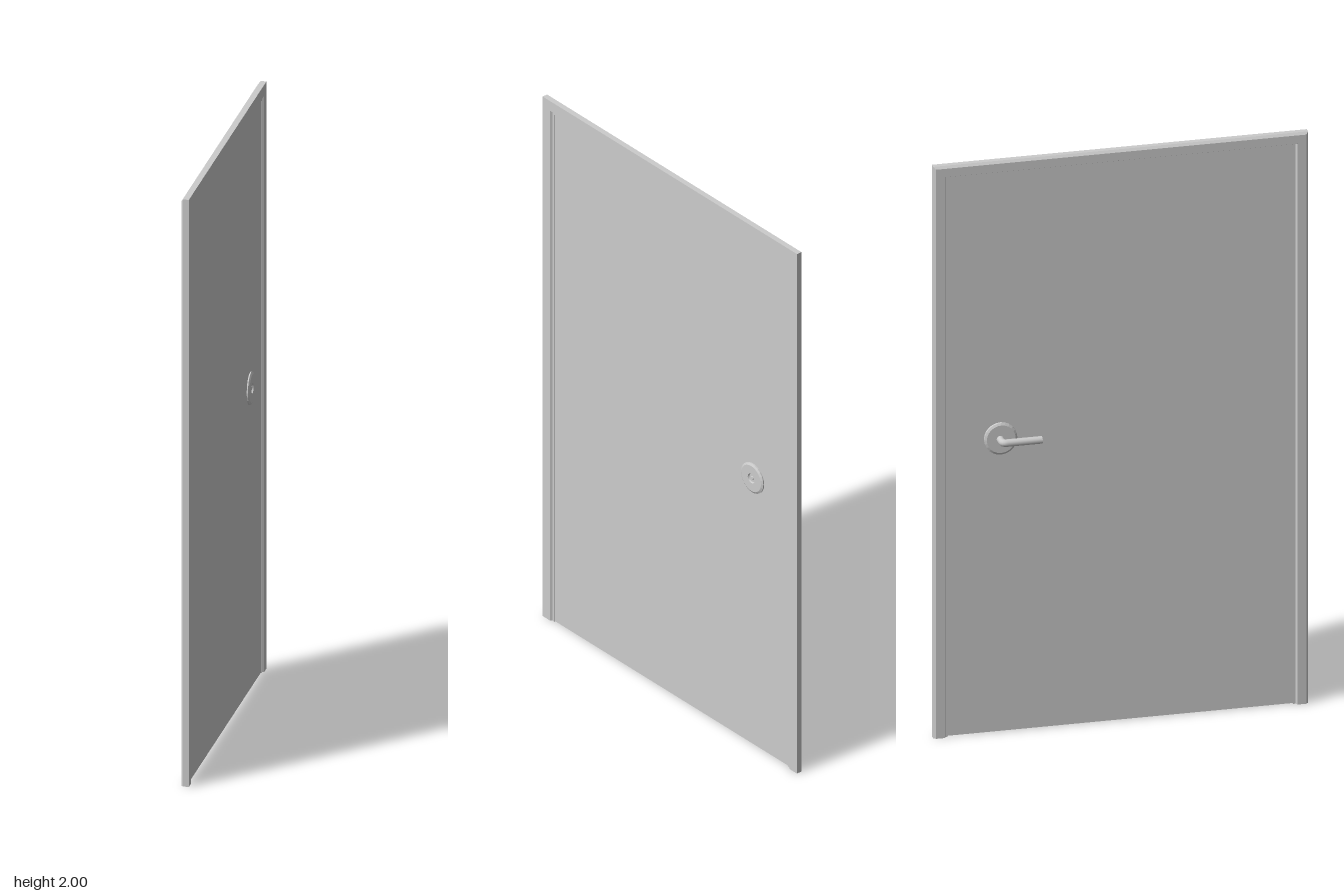
import * as THREE from 'three';

const HALF_W = 0.625, HEIGHT = 2;
const HANDLE_Y = 1.027, HANDLE_Z = -0.4;
const flat = () => new THREE.MeshStandardMaterial({ color: 0xcccccc, flatShading: true, side: THREE.DoubleSide });
const smooth = () => new THREE.MeshStandardMaterial({ color: 0xcccccc, side: THREE.DoubleSide });

// Moulded section swept up one jamb, over the head and down the other, with mitred corners
function frameGeometry() {
  // [inset from the outer edge, x]
  const profile = [
    [0, 0.018], [0, 0.037], [0.037, 0.037], [0.041, 0.031], [0.05, 0.031],
    [0.05, 0.02], [0.041, 0.02], [0.037, 0.011], [0.008, 0.011],
  ];
  const corners = [
    (d, x) => [x, 0, HALF_W - d],
    (d, x) => [x, HEIGHT - d, HALF_W - d],
    (d, x) => [x, HEIGHT - d, d - HALF_W],
    (d, x) => [x, 0, d - HALF_W],
  ];
  const pos = [];
  for (let i = 0; i < 3; i++) {
    profile.forEach((p, j) => {
      const q = profile[(j + 1) % profile.length];
      const a = corners[i](...p), b = corners[i](...q);
      const c = corners[i + 1](...q), d = corners[i + 1](...p);
      pos.push(...a, ...b, ...c, ...a, ...c, ...d);
    });
  }
  // feet of the two jambs
  const tris = THREE.ShapeUtils.triangulateShape(profile.map(p => new THREE.Vector2(...p)), []);
  for (const foot of [corners[0], corners[3]]) {
    for (const t of tris) for (const k of t) pos.push(...foot(...profile[k]));
  }
  const g = new THREE.BufferGeometry();
  g.setAttribute('position', new THREE.Float32BufferAttribute(pos, 3));
  g.computeVertexNormals();
  return g;
}

// Round plate turned about the x axis; side is +1 or -1
function rosette(name, points, x, side) {
  const g = new THREE.LatheGeometry(points.map(p => new THREE.Vector2(...p)), 24);
  const m = new THREE.Mesh(g, flat());
  m.name = name;
  m.rotation.z = -side * Math.PI / 2;
  m.position.set(x, HANDLE_Y, HANDLE_Z);
  return m;
}

export function createModel() {
  const root = new THREE.Group();
  root.name = 'door';

  const frame = new THREE.Mesh(frameGeometry(), flat());
  frame.name = 'doorFrame';
  root.add(frame);

  // Door leaf
  const leaf = new THREE.Mesh(new THREE.BoxGeometry(0.006, 1.953, 1.156), flat());
  leaf.name = 'doorLeaf';
  leaf.position.set(0.026, 1.953 / 2 + 0.002, 0);
  root.add(leaf);

  // Plate with a small socket on one side, plate behind the lever on the other
  root.add(rosette('socketRosette',
    [[0.055, 0], [0.055, 0.004], [0.048, 0.008], [0.017, 0.008], [0.015, 0.003], [0.007, 0.003], [0.006, 0.006], [0, 0.006]],
    0.029, 1));
  root.add(rosette('leverRosette',
    [[0.055, 0], [0.055, 0.008], [0.048, 0.012], [0, 0.012]], 0.023, -1));

  // Bent lever
  const handle = new THREE.Group();
  handle.name = 'leverHandle';
  const r = 0.0125, xo = -0.0245, bend = 0.014, tip = 0.13;
  const path = new THREE.CurvePath();
  const v = (x, z) => new THREE.Vector3(x, 0, z);
  path.add(new THREE.LineCurve3(v(0.02, 0), v(xo + bend, 0)));
  path.add(new THREE.QuadraticBezierCurve3(v(xo + bend, 0), v(xo, 0), v(xo, bend)));
  path.add(new THREE.LineCurve3(v(xo, bend), v(xo, tip)));
  const bar = new THREE.Mesh(new THREE.TubeGeometry(path, 40, r, 12), smooth());
  bar.name = 'leverBar';
  const cap = new THREE.Mesh(new THREE.CircleGeometry(r, 12), flat());
  cap.name = 'leverTip';
  cap.position.set(xo, 0, tip);
  handle.add(bar, cap);
  handle.position.set(0, HANDLE_Y, HANDLE_Z - 0.003);
  root.add(handle);

  return root;
}
